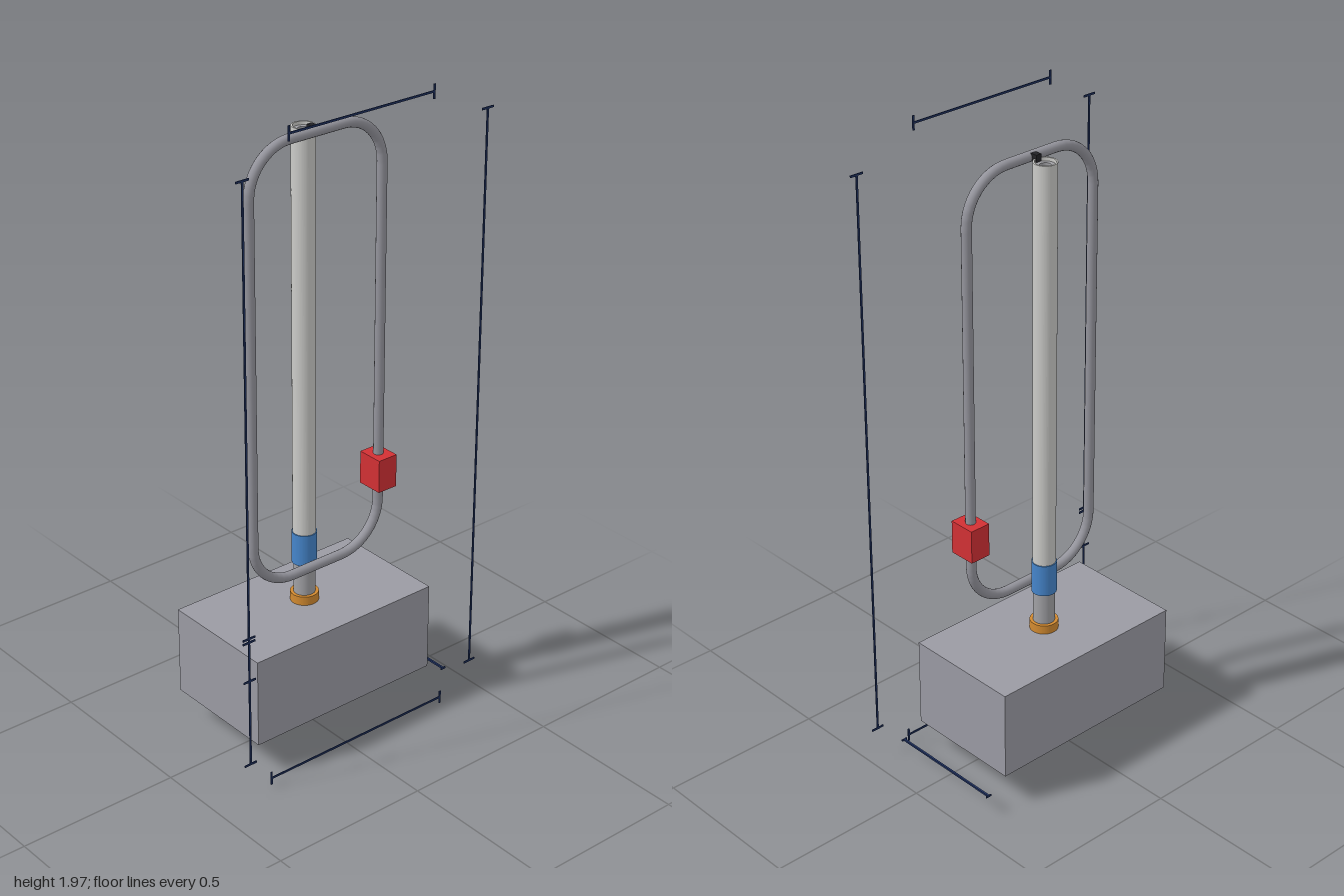
import * as THREE from 'three';

const mat = (name, color) => {
  const m = new THREE.MeshStandardMaterial({ color });
  m.name = name;
  return m;
};

export function createModel() {
  const model = new THREE.Group();
  model.name = 'postWithLoop';

  const concrete = mat('concreteGrey', 0x9a9aa3);
  const steel = mat('loopGrey', 0x94949c);
  const inner = mat('innerPostGrey', 0xa0a0a4);
  const light = mat('postLightGrey', 0xcbcbc8);
  const blue = mat('sleeveBlue', 0x4585cb);
  const orange = mat('collarOrange', 0xd28a30);
  const red = mat('boxRed', 0xd23034);
  const black = mat('clipBlack', 0x222226);
  const navy = mat('lineNavy', 0x1f3160);

  const CX = 0.025, CZ = -0.033; // post axis

  const add = (name, geo, material, x, y, z, parent = model) => {
    const m = new THREE.Mesh(geo, material);
    m.name = name;
    m.position.set(x, y, z);
    parent.add(m);
    return m;
  };
  const box = (name, material, x0, x1, y0, y1, z0, z1, parent) =>
    add(name, new THREE.BoxGeometry(x1 - x0, y1 - y0, z1 - z0), material,
      (x0 + x1) / 2, (y0 + y1) / 2, (z0 + z1) / 2, parent);

  // Hollow round part on the post axis
  const pipe = (name, material, r, hole, y0, y1) => {
    const shape = new THREE.Shape().absarc(0, 0, r, 0, Math.PI * 2, false);
    shape.holes.push(new THREE.Path().absarc(0, 0, hole, 0, Math.PI * 2, true));
    const geo = new THREE.ExtrudeGeometry(shape, { depth: y1 - y0, bevelEnabled: false, curveSegments: 32 });
    geo.rotateX(-Math.PI / 2);
    return add(name, geo, material, CX, y0, CZ);
  };

  // Foundation and post
  box('foundationBlock', concrete, -0.298, 0.349, 0.105, 0.382, -0.218, 0.152);
  pipe('collar', orange, 0.042, 0.031, 0.382, 0.41);
  pipe('innerPost', inner, 0.032, 0.016, 0.382, 0.6);
  pipe('sleeve', blue, 0.037, 0.031, 0.51, 0.61);
  pipe('outerPost', light, 0.034, 0.029, 0.6, 1.845);
  pipe('postTopPlug', inner, 0.0285, 0.016, 1.79, 1.835);
  add('plugHole', new THREE.CylinderGeometry(0.016, 0.016, 0.005, 24), black, CX, 1.793, CZ);

  // Rounded tube loop in front of the post
  const r = 0.0148, w = 0.246 - r, y0 = 0.506 + r, y1 = 1.859 - r, c = 0.139;
  const path = new THREE.CurvePath();
  const corners = [[w, y1 - c, w - c, y1 - c, 0], [-w + c, y1, -w + c, y1 - c, 1],
    [-w, y0 + c, -w + c, y0 + c, 2], [w - c, y0, w - c, y0 + c, 3]];
  const points = [];
  for (const [, , ax, ay, quarter] of corners) {
    for (let i = 0; i <= 10; i++) {
      const a = (quarter + i / 10) * Math.PI / 2;
      points.push(new THREE.Vector3(ax + c * Math.cos(a), ay + c * Math.sin(a), 0));
    }
  }
  points.forEach((p, i) => path.add(new THREE.LineCurve3(p, points[(i + 1) % points.length])));
  add('tubeLoop', new THREE.TubeGeometry(path, 320, r, 16, true), steel, CX, 0, 0.0225);

  // Clip joining loop and post, and the box on the loop's left side
  box('topClip', black, CX - 0.009, CX + 0.009, 1.836, 1.857, -0.008, 0.016);
  box('loopBox', red, 0.223, 0.289, 0.704, 0.807, -0.018, 0.065);

  // Dimension lines: a thin bar with a tick at each end
  const T = 0.003, K = 0.018, Z = 0.21;
  const lines = new THREE.Group();
  lines.name = 'dimensionLines';
  model.add(lines);
  const bar = (x0, x1, y0, y1, z0 = Z, z1 = Z) =>
    box('dimensionBar', navy, x0 - T, x1 + T, y0 - T, y1 + T, z0 - T / 2, z1 + T / 2, lines);
  const across = (y, a, b) => {
    bar(a, b, y, y);
    for (const x of [a, b]) bar(x, x, y - K, y + K);
  };
  const upright = (x, a, b) => {
    bar(x, x, a, b);
    for (const y of [a, b]) bar(x - K, x + K, y, y);
  };
  across(1.949, -0.222, 0.27);
  across(0.023, -0.298, 0.349);
  upright(-0.372, 0.508, 1.859);
  upright(-0.372, 0.382, 0.52);
  upright(-0.372, 0.105, 0.382);
  upright(0.466, 0.105, 1.859);
  // Depth line beside the block
  bar(0.414, 0.414, 0.069, 0.069, -0.218, 0.152);
  for (const z of [-0.218, 0.152]) bar(0.408, 0.42, 0.069, 0.069, z, z);

  return model;
}
